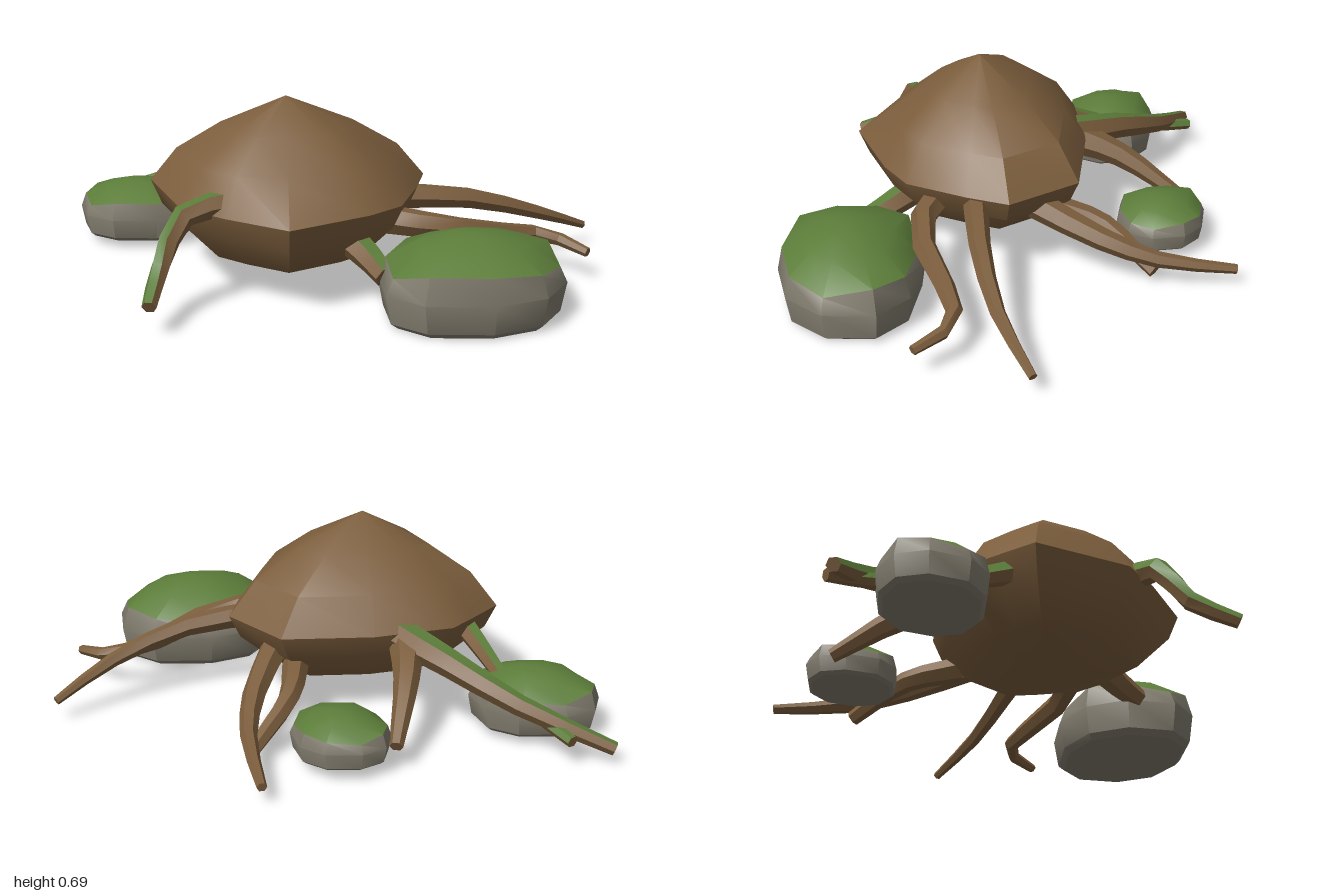
import * as THREE from 'three';
import { toCreasedNormals } from 'three/addons/utils/BufferGeometryUtils.js';

const material = (name, color) => {
  const m = new THREE.MeshStandardMaterial({ color });
  m.name = name;
  return m;
};
const bark = material('bark', 0x7c5e3d);
const moss = material('moss', 0x5c7d3a);
const stone = material('stone', 0x807b6d);

// Skin closed rings (counter-clockwise about the direction of travel);
// pick(i, j) chooses the material index of each face.
function loft(name, rings, materials, pick, crease) {
  const buckets = materials.map(() => []);
  const tri = (k, ...pts) => pts.forEach((p) => buckets[k].push(p.x, p.y, p.z));
  const n = rings[0].length;
  for (let i = 0; i < rings.length - 1; i++) {
    for (let j = 0; j < n; j++) {
      const a = rings[i][j], b = rings[i][(j + 1) % n];
      const c = rings[i + 1][(j + 1) % n], d = rings[i + 1][j];
      const k = pick(i, j);
      if (a.distanceTo(b) > 1e-5) tri(k, a, b, d);
      if (c.distanceTo(d) > 1e-5) tri(k, b, c, d);
    }
  }
  // End caps
  [rings[0], rings[rings.length - 1]].forEach((ring, end) => {
    const mid = ring.reduce((s, p) => s.add(p), new THREE.Vector3()).divideScalar(n);
    if (mid.distanceTo(ring[0]) < 1e-5) return;
    for (let j = 0; j < n; j++) {
      const a = ring[j], b = ring[(j + 1) % n];
      if (end) tri(0, mid, a, b); else tri(0, mid, b, a);
    }
  });
  const geometry = new THREE.BufferGeometry();
  geometry.setAttribute('position', new THREE.Float32BufferAttribute(buckets.flat(), 3));
  let at = 0;
  buckets.forEach((b, k) => {
    if (b.length) geometry.addGroup(at, b.length / 3, k);
    at += b.length / 3;
  });
  const mesh = new THREE.Mesh(toCreasedNormals(geometry, crease), materials);
  mesh.name = name;
  return mesh;
}

// Scale a ground outline about a centre; lift(j) can bend the ring up or down
const outlineRing = (outline, [cx, cz], y, s, lift = () => 0) => outline.map(([x, z], j) =>
  new THREE.Vector3(cx + (x - cx) * s, y + lift(j), cz + (z - cz) * s));

// Six-sided root tapering from radius r0 to r1 along a smooth curve
function root(name, r0, r1, points, mossFaces = []) {
  const curve = new THREE.CatmullRomCurve3(points.map((p) => new THREE.Vector3(...p)));
  const up = new THREE.Vector3(0, 1, 0);
  const steps = 6;
  const rings = Array.from({ length: steps + 1 }, (_, i) => {
    const t = i / steps;
    const p = curve.getPoint(t), dir = curve.getTangent(t);
    const side = up.clone().cross(dir).normalize();
    const top = dir.clone().cross(side);
    const r = r0 + (r1 - r0) * t;
    return Array.from({ length: 6 }, (_, j) => p.clone()
      .addScaledVector(side, r * Math.cos(j * Math.PI / 3))
      .addScaledVector(top, r * Math.sin(j * Math.PI / 3)));
  });
  return loft(name, rings, [bark, moss], (i, j) => (mossFaces.includes(j) ? 1 : 0), 0.5);
}

// Flat-bottomed boulder with a moss cap; its plan is a rounded, slightly skewed oblong
function boulder(name, [cx, cz], [rx, rz], y0, y1, skew) {
  const h = y1 - y0, sides = 10;
  const soft = (v) => Math.sign(v) * Math.abs(v) ** 0.85;
  const outline = Array.from({ length: sides }, (_, j) => {
    const a = (j + 0.3) / sides * Math.PI * 2;
    return [cx + rx * (soft(Math.sin(a)) + skew * Math.cos(a)), cz + rz * soft(Math.cos(a))];
  });
  const ring = (t, s, lift) => outlineRing(outline, [cx, cz], y0 + h * t, s, lift);
  const rings = [
    ring(0, 0.86), ring(0.07, 0.94), ring(0.42, 1),
    ring(0.67, 0.92, (j) => Math.sin(j * 2.1 + 1) * h * 0.07),
    ring(0.88, 0.58), ring(0.98, 0.25), ring(1, 0),
  ];
  return loft(name, rings, [stone, moss], (i) => (i >= 3 ? 1 : 0), 0.65);
}

// Mound: widest at a sharp rim, pointed above and below
function mound() {
  const rim = [[-0.18, 0.64], [0.1, 0.49], [0.22, 0.39], [0.3, 0.16], [0.34, 0], [0.16, -0.24],
    [-0.18, -0.25], [-0.48, -0.19], [-0.57, -0.1], [-0.685, 0.02], [-0.56, 0.37], [-0.4, 0.5]];
  const levels = [[0.05, 0], [0.075, 0.28], [0.13, 0.66], [0.25, 0.92], [0.34, 1],
    [0.47, 0.8], [0.58, 0.47], [0.69, 0]];
  const rings = levels.map(([y, s]) => {
    const ring = outlineRing(rim, [-0.18, 0.16], y, s);
    // The front tip runs straight up to the peak
    if (y > 0.4) ring[0].z = Math.min(ring[0].z, 0.16 + (0.69 - y) * 1.42);
    return ring;
  });
  return loft('mound', rings, [bark], () => 0, 0.62);
}

export function createModel() {
  const model = new THREE.Group();
  model.name = 'rootedMound';
  model.add(mound());

  // Front roots
  model.add(root('frontRightRoot', 0.05, 0.026,
    [[-0.36, 0.37, 0.4], [-0.54, 0.345, 0.475], [-0.62, 0.19, 0.56], [-0.65, 0.11, 0.72]], [1, 2]));
  model.add(root('frontLeftRoot', 0.06, 0.04, [[0, 0.24, 0.34], [0.1, 0.18, 0.47], [0.15, 0.14, 0.56]], [1]));

  // Left roots
  model.add(root('leftStraightRoot', 0.05, 0.016,
    [[0.18, 0.3, 0.14], [0.5, 0.27, 0.09], [0.78, 0.18, 0], [0.99, 0.08, -0.135]]));
  model.add(root('leftBentRoot', 0.055, 0.018,
    [[0.16, 0.26, 0.28], [0.36, 0.24, 0.325], [0.62, 0.17, 0.2], [0.79, 0.14, 0.15], [0.92, 0.11, 0.27]]));

  // Back roots
  model.add(root('backLeftLongRoot', 0.055, 0.018,
    [[0.17, 0.25, -0.08], [0.265, 0.17, -0.33], [0.295, 0.11, -0.54], [0.265, 0.065, -0.83]]));
  model.add(root('backLeftShortRoot', 0.05, 0.028, [[0.1, 0.2, -0.14], [0.14, 0.155, -0.34], [0.28, 0.05, -0.53]]));
  model.add(root('backRoot', 0.07, 0.025, [[-0.31, 0.3, -0.15], [-0.28, 0.23, -0.38], [-0.21, 0.09, -0.63]]));
  model.add(root('backRightLongRoot', 0.065, 0.025,
    [[-0.27, 0.32, -0.16], [-0.44, 0.275, -0.365], [-0.66, 0.18, -0.53], [-0.98, 0.055, -0.65]], [0, 1]));
  model.add(root('backRightTwig', 0.028, 0.022, [[-0.7, 0.15, -0.47], [-0.76, 0.12, -0.56], [-0.82, 0.1, -0.67]], [0, 1, 2]));
  model.add(root('rightSideRoot', 0.045, 0.026, [[-0.54, 0.3, -0.02], [-0.605, 0.23, -0.18], [-0.66, 0.17, -0.36]], [0, 1]));

  // Mossy boulders
  model.add(boulder('frontBoulder', [0.45, 0.56], [0.33, 0.265], 0, 0.3, -0.1));
  model.add(boulder('backRightBoulder', [-0.76, -0.33], [0.235, 0.19], 0.03, 0.24, 0.1));
  model.add(boulder('backBoulder', [-0.025, -0.55], [0.175, 0.17], 0.04, 0.2, 0.1));
  return model;
}
